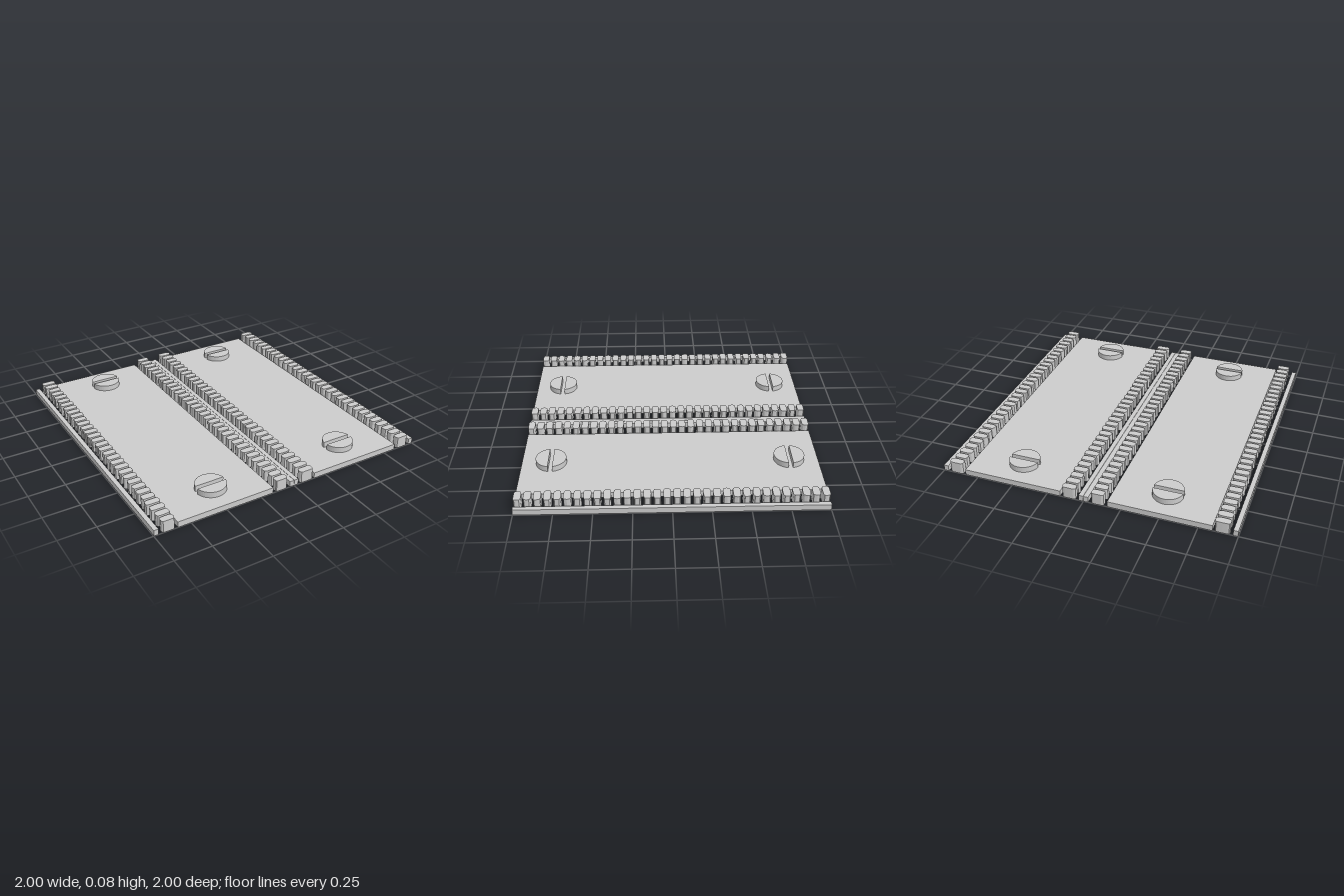
import * as THREE from 'three';
import { mergeGeometries } from 'three/addons/utils/BufferGeometryUtils.js';

const BASE = 0.04, TOP = 0.08;
const material = new THREE.MeshStandardMaterial({ color: 0xcccccc, flatShading: true, side: THREE.DoubleSide });

// Small seeded generator, -1..1
let seed = 7;
const jitter = () => {
  seed = (seed * 16807) % 2147483647;
  return (seed / 2147483647) * 2 - 1;
};

// Open-bottomed shell: a flat cap at y1 over walls that follow the outline down to y0
function shell(points, y0, y1, holes = []) {
  const shape = new THREE.Shape(points);
  shape.holes = holes.map((h) => new THREE.Path(h));
  const cap = new THREE.ShapeGeometry(shape).toNonIndexed();
  cap.deleteAttribute('uv');
  cap.translate(0, 0, y1);
  const pos = [];
  points.forEach((a, i) => {
    const b = points[(i + 1) % points.length];
    pos.push(a.x, a.y, y0, b.x, b.y, y0, b.x, b.y, y1, a.x, a.y, y0, b.x, b.y, y1, a.x, a.y, y1);
  });
  const walls = new THREE.BufferGeometry();
  walls.setAttribute('position', new THREE.Float32BufferAttribute(pos, 3));
  walls.computeVertexNormals();
  return mergeGeometries([cap, walls]).rotateX(-Math.PI / 2);
}

const rect = (x0, x1, z0, z1) =>
  [[x0, z0], [x1, z0], [x1, z1], [x0, z1]].map((p) => new THREE.Vector2(...p));

// Half of a slotted disc; side = 1 or -1 picks the half
function halfDisc(cx, cz, r, slot, side) {
  const start = Math.asin(slot / r), pts = [];
  for (let i = 0; i <= 20; i++) {
    const a = start + ((Math.PI - 2 * start) * i) / 20;
    pts.push(new THREE.Vector2(cx + side * r * Math.cos(a), cz + side * r * Math.sin(a)));
  }
  return pts;
}

// Rounded, slightly irregular block outline
function blockOutline(cx, cz) {
  const pts = [], n = 16;
  const rx = 0.046 + 0.003 * jitter(), rz = 0.0245;
  const round = (v) => Math.sign(v) * Math.pow(Math.abs(v), 0.5);
  for (let i = 0; i < n; i++) {
    const a = (i / n) * Math.PI * 2;
    pts.push(new THREE.Vector2(
      cx + rx * round(Math.cos(a)) + 0.0015 * jitter(),
      THREE.MathUtils.clamp(cz + rz * round(Math.sin(a)) + 0.001 * jitter(), -1, 1)));
  }
  return pts;
}

function createUnit() {
  const unit = new THREE.Group();
  const add = (name, geometry) => {
    const mesh = new THREE.Mesh(geometry, material);
    mesh.name = name;
    unit.add(mesh);
  };

  // Flat panel, open below each raised screw half
  const halves = [];
  for (const z of [-0.802, 0.802])
    for (const side of [-1, 1]) halves.push(halfDisc(0.5, z, 0.103, 0.015, side));
  add('panel', shell(rect(0.16, 0.84, -1, 1), 0, BASE, halves));

  // Slotted screw heads
  add('screwHeads', mergeGeometries(halves.map((h) => shell(h, BASE, TOP))));

  // Thin border strips
  add('innerStrip', shell(rect(0.002, 0.033, -1, 1), 0, BASE));
  add('outerStrip', shell(rect(0.968, 1, -1, 1), 0, BASE));

  // Rows of raised blocks on both sides of the panel
  for (const [name, x] of [['innerBlockRow', 0.101], ['outerBlockRow', 0.906]]) {
    const blocks = [];
    for (let i = 0; i < 32; i++) blocks.push(shell(blockOutline(x, (i - 15.5) * 0.063), 0, TOP));
    add(name, mergeGeometries(blocks));
  }
  return unit;
}

export function createModel() {
  const model = new THREE.Group();
  model.name = 'panelledTile';
  // Two identical units side by side
  ['rightUnit', 'leftUnit'].forEach((name, i) => {
    const unit = createUnit();
    unit.name = name;
    unit.position.x = i - 1;
    model.add(unit);
  });
  return model;
}
